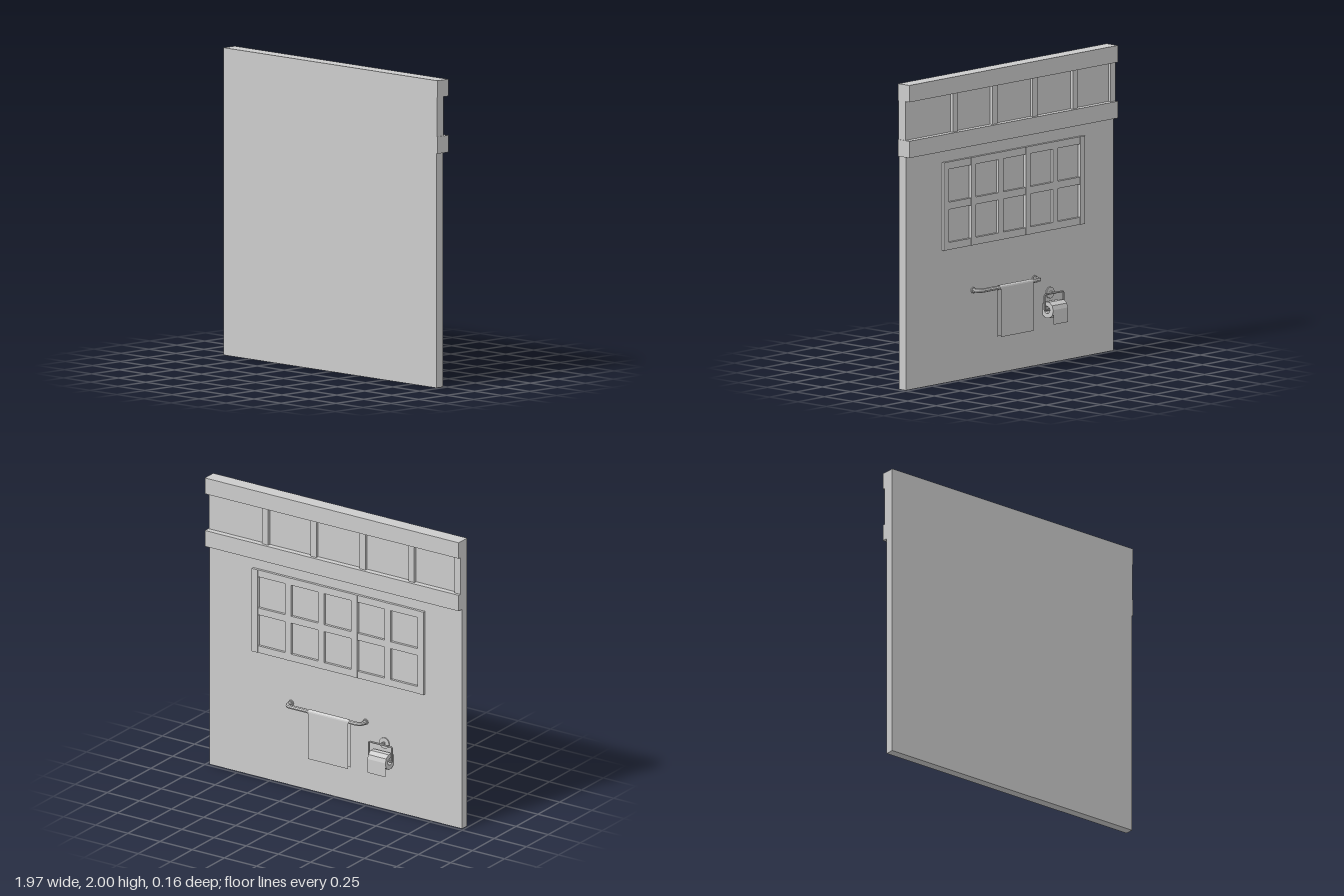
import * as THREE from 'three';

const FRONT = 0.078, WALL = 0.02;

export function createModel() {
  const model = new THREE.Group();
  model.name = 'bathroomWall';
  const mat = new THREE.MeshStandardMaterial({ color: 0xcccccc, flatShading: true });
  const thin = new THREE.MeshStandardMaterial({ color: 0xcccccc, flatShading: true, side: THREE.DoubleSide });

  const add = (name, geometry, material = mat, parent = model) => {
    const mesh = new THREE.Mesh(geometry, material);
    mesh.name = name;
    parent.add(mesh);
    return mesh;
  };
  // box given by its lower and upper limits on each axis
  const box = (name, x0, x1, y0, y1, z0, z1, parent = model) => {
    const g = new THREE.BoxGeometry(x1 - x0, y1 - y0, z1 - z0);
    g.translate((x0 + x1) / 2, (y0 + y1) / 2, (z0 + z1) / 2);
    return add(name, g, mat, parent);
  };
  // rod following straight runs with short rounded corners
  const rod = (name, points, bend, radius, sides, parent) => {
    const p = points.map((a) => new THREE.Vector3(...a));
    const path = new THREE.CurvePath();
    let from = p[0];
    for (let i = 1; i < p.length - 1; i++) {
      const a = p[i].clone().add(p[i - 1].clone().sub(p[i]).setLength(bend));
      const b = p[i].clone().add(p[i + 1].clone().sub(p[i]).setLength(bend));
      path.add(new THREE.LineCurve3(from, a));
      path.add(new THREE.QuadraticBezierCurve3(a, p[i], b));
      from = b;
    }
    path.add(new THREE.LineCurve3(from, p[p.length - 1]));
    return add(name, new THREE.TubeGeometry(path, 80, radius, sides), thin, parent);
  };

  // wall slab and its slightly wider upper panel
  box('wall', -0.987, 0.977, 0, 1.58, WALL, FRONT);
  box('upperPanel', -0.987, 0.982, 1.58, 1.95, WALL, FRONT);

  // horizontal trim bands
  box('topBand', -0.987, 0.987, 1.89, 2, -0.02, FRONT);
  box('lowerBand', -0.987, 0.987, 1.525, 1.635, -0.02, FRONT);

  // battens between the bands
  for (const x of [0.531, 0.155, -0.225, -0.605, -0.964])
    box('batten', x - 0.023, x + 0.023, 1.635, 1.89, 0, WALL);

  // window: stiles and rails around five by two panes
  const win = new THREE.Group();
  win.name = 'window';
  model.add(win);
  const left = -0.7, bottom = 0.87, stile = 0.046, pitch = 0.258, height = 0.575, rail = 0.048;
  const right = left + 5 * pitch + stile;
  for (let i = 0; i < 6; i++) {
    const x = left + i * pitch;
    box('windowStile', x, x + stile, bottom, bottom + height, 0, WALL, win);
  }
  for (let j = 0; j < 3; j++) {
    const y = bottom + (j * (height - rail)) / 2;
    box('windowRail', left + 0.001, right - 0.001, y, y + rail, 0.002, WALL, win);
  }

  // towel bar bending back to round wall flanges
  const bar = new THREE.Group();
  bar.name = 'towelRack';
  model.add(bar);
  const barY = 0.572, barZ = -0.04;
  rod('towelBar', [[0.342, barY, WALL], [0.342, barY, barZ], [-0.238, barY, barZ], [-0.238, barY, WALL]],
    0.035, 0.014, 8, bar);
  for (const x of [0.342, -0.238]) {
    const flange = new THREE.CylinderGeometry(0.02, 0.02, 0.008, 12);
    flange.rotateX(Math.PI / 2).translate(x, barY, WALL - 0.004);
    add('towelBarFlange', flange, mat, bar);
  }

  // sheet swept along x from a profile of [z, y] points
  const sheet = (name, profile, x0, x1, parent) => {
    const pos = profile.flatMap(([z, y]) => [x0, y, z, x1, y, z]);
    const index = [];
    for (let i = 0; i < profile.length - 1; i++) {
      const a = i * 2;
      index.push(a, a + 2, a + 1, a + 1, a + 2, a + 3);
    }
    const g = new THREE.BufferGeometry();
    g.setAttribute('position', new THREE.Float32BufferAttribute(pos, 3));
    g.setIndex(index);
    g.computeVertexNormals();
    return add(name, g, thin, parent);
  };

  // towel folded over the bar
  const fold = [[barZ - 0.016, 0.25]];
  for (let i = 0; i <= 6; i++) {
    const a = Math.PI - (i * Math.PI) / 6;
    fold.push([barZ + 0.016 * Math.cos(a), barY + 0.016 * Math.sin(a)]);
  }
  fold.push([barZ + 0.016, 0.25]);
  sheet('towel', fold, -0.15, 0.16, bar);

  // paper holder: wall plate, stem and wire hanger
  const holder = new THREE.Group();
  holder.name = 'paperHolder';
  model.add(holder);
  const cx = -0.385, rollY = 0.36, rollZ = -0.022;
  const plate = new THREE.CylinderGeometry(0.038, 0.038, 0.008, 12);
  plate.rotateX(Math.PI / 2).translate(cx, 0.46, WALL - 0.004);
  add('holderPlate', plate, mat, holder);
  const stem = new THREE.CylinderGeometry(0.008, 0.008, 0.045, 8);
  stem.rotateX(Math.PI / 2).translate(cx, 0.463, -0.003);
  add('holderStem', stem, mat, holder);
  rod('holderWire', [[-0.47, rollY, rollZ], [-0.47, 0.463, rollZ], [-0.29, 0.463, rollZ],
    [-0.29, rollY, rollZ], [-0.469, rollY, rollZ]], 0.012, 0.006, 6, holder);

  // hollow paper roll with a hanging end
  const ro = 0.055, ri = 0.025, half = 0.07;
  const roll = new THREE.LatheGeometry([[ri, -half], [ro, -half], [ro, half], [ri, half], [ri, -half]]
    .map(([r, y]) => new THREE.Vector2(r, y)), 10);
  roll.rotateZ(Math.PI / 2).translate(cx, rollY, rollZ);
  add('paperRoll', roll, thin, holder);
  sheet('hangingPaper', [[rollZ - ro, rollY + 0.005], [rollZ - ro, 0.27]], cx - half, cx + half, holder);

  return model;
}
